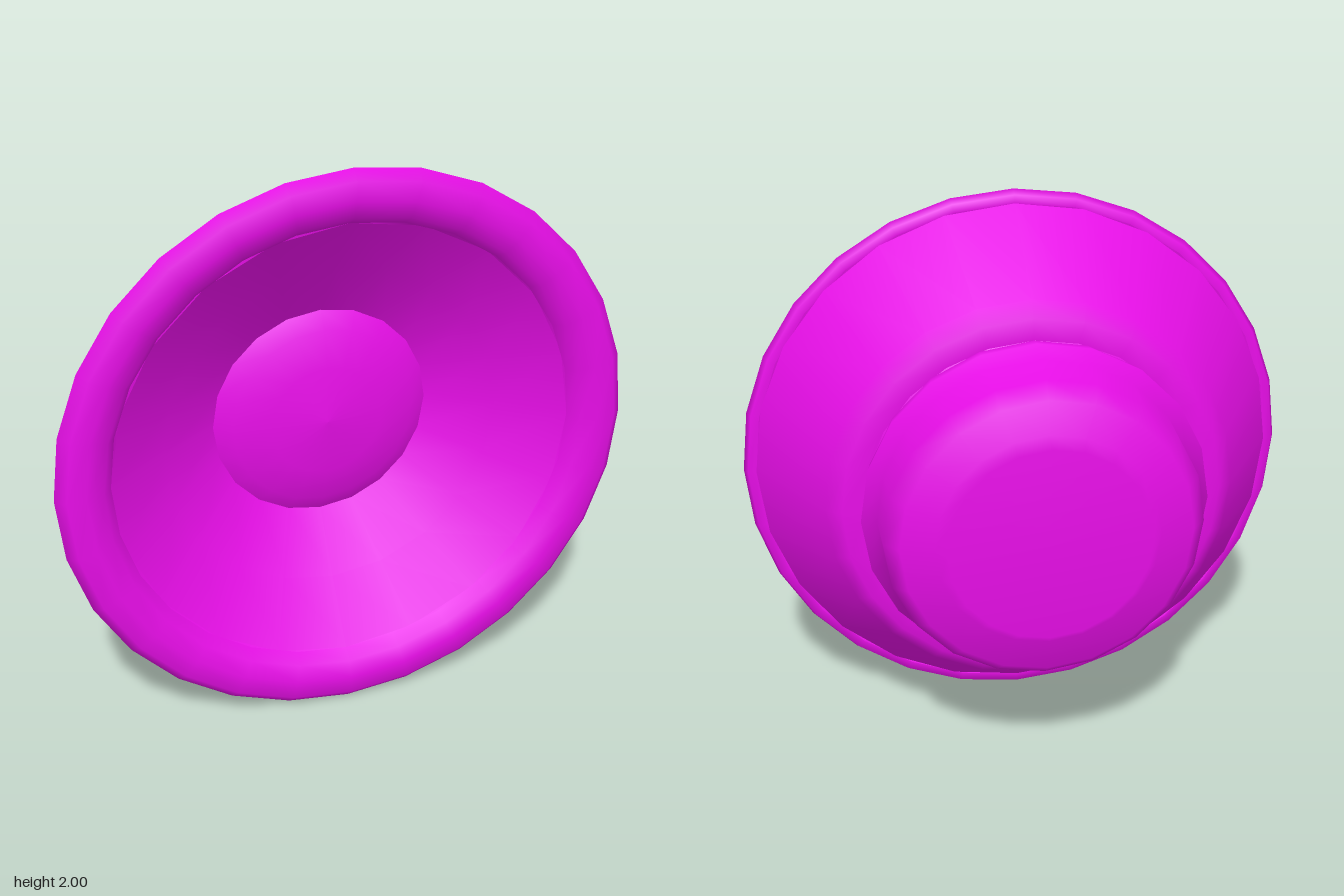
import * as THREE from 'three';

export function createModel() {
  const model = new THREE.Group();
  model.name = 'loudspeaker';
  const material = new THREE.MeshStandardMaterial({ color: 0xe60ee6, side: THREE.DoubleSide });

  // Turns a profile of [radius, z] pairs around the z axis, with smooth normals.
  function addTurned(name, profile, sides) {
    const points = profile.map(([r, z]) => new THREE.Vector2(r, z));
    const geometry = new THREE.LatheGeometry(points, sides);
    geometry.rotateX(Math.PI / 2);
    const mesh = new THREE.Mesh(geometry, material);
    mesh.name = name;
    mesh.position.y = 1;
    model.add(mesh);
  }

  // Magnet with a raised back plate, bevelled edge and stepped front plate
  addTurned('magnet', [
    [0, -0.41], [0.35, -0.41], [0.385, -0.375], [0.5, -0.36], [0.55, -0.3],
    [0.555, -0.13], [0.61, -0.125], [0.595, -0.055],
  ], 20);

  // Flared basket
  addTurned('basket', [[0.595, -0.055], [0.67, -0.055], [0.725, -0.01], [0.955, 0.345]], 24);

  // Rounded rim and surround, rolling inward to the cone
  addTurned('surround', [
    [0.955, 0.345], [0.985, 0.345], [1, 0.375], [0.965, 0.408],
    [0.9, 0.41], [0.84, 0.395], [0.81, 0.35],
  ], 28);

  // Hollow cone
  addTurned('cone', [[0.81, 0.35], [0.6, 0.2], [0.39, 0.06]], 20);

  // Shallow dust cap
  addTurned('dustCap', [[0.39, 0.06], [0.33, 0.095], [0.2, 0.13], [0, 0.145]], 20);

  return model;
}
